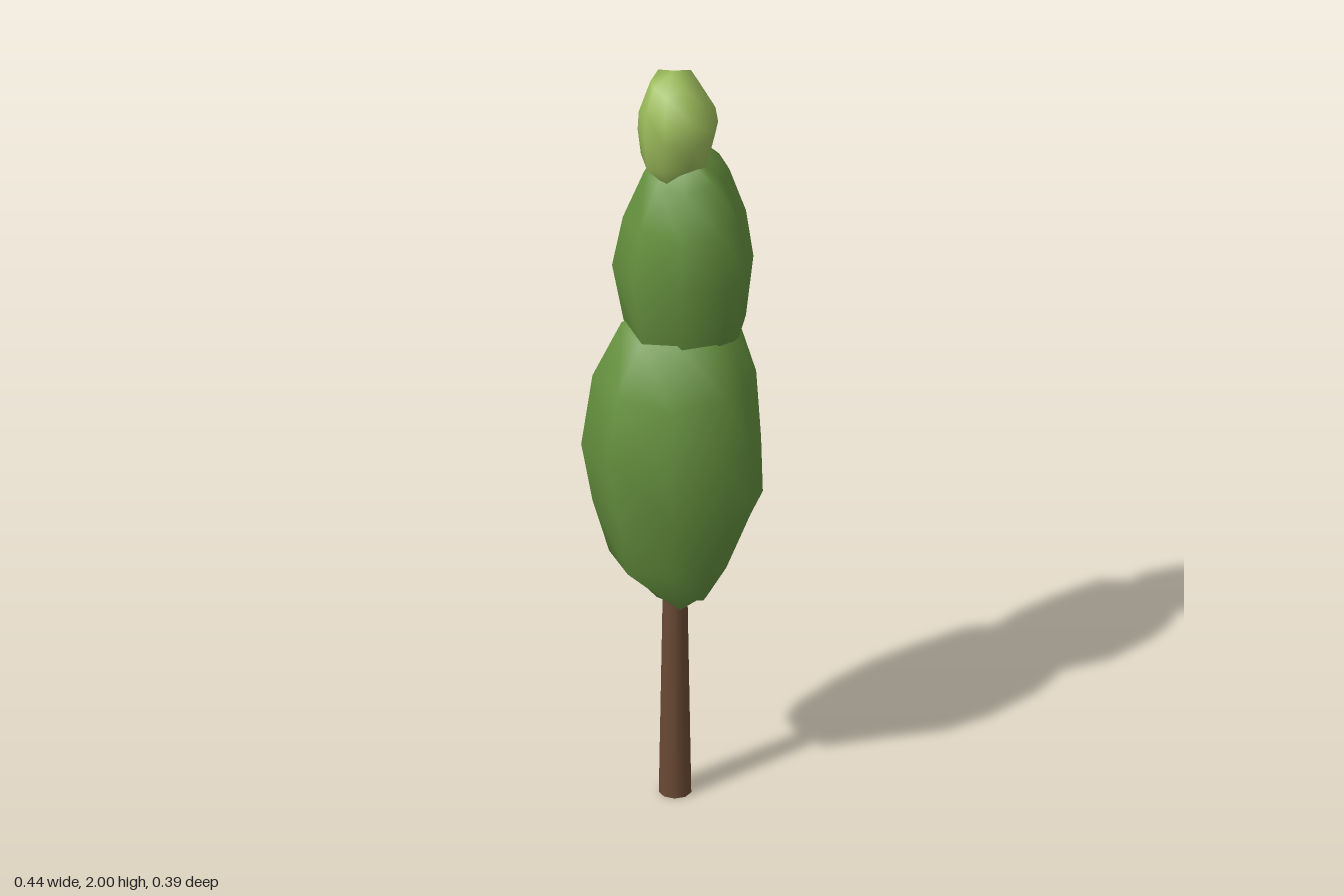
import * as THREE from 'three';

// Uneven plan outline of the foliage, scaled to fit each ring's extents
const LEAFY = [[-1, 0.1], [-0.68, 0.7], [0, 1], [0.66, 0.76], [0.9, 0.35],
  [1, -0.17], [0.74, -0.72], [0.27, -0.96], [-0.25, -1], [-0.76, -0.53]];
const ROUND = [[-1, 0.1], [-0.8, 0.6], [-0.3, 1], [0.45, 0.85], [0.95, 0.4],
  [1, -0.2], [0.67, -0.75], [0.08, -1], [-0.7, -0.72]];

// Closed smooth blob lofted through rings of [y, xMin, xMax, zMin, zMax]
function blob(name, outline, rings, bottom, top, material) {
  const n = outline.length;
  const pos = [];
  const index = [];
  rings.forEach(([y, x0, x1, z0, z1], i) => {
    outline.forEach(([px, pz], j) => {
      const wobble = 0.012 * Math.sin(j * 2.4 + i * 1.7);
      pos.push((x0 + x1) / 2 + px * (x1 - x0) / 2, y + wobble, (z0 + z1) / 2 + pz * (z1 - z0) / 2);
    });
  });
  const lo = rings.length * n;
  const hi = lo + 1;
  pos.push(...bottom, ...top);
  for (let j = 0; j < n; j++) {
    const k = (j + 1) % n;
    for (let i = 0; i < rings.length - 1; i++) {
      const a = i * n + j, b = i * n + k;
      index.push(a, b, a + n, b, b + n, a + n);
    }
    const t = (rings.length - 1) * n;
    index.push(lo, k, j, hi, t + j, t + k);
  }
  const geometry = new THREE.BufferGeometry();
  geometry.setAttribute('position', new THREE.Float32BufferAttribute(pos, 3));
  geometry.setIndex(index);
  geometry.computeVertexNormals();
  const mesh = new THREE.Mesh(geometry, material);
  mesh.name = name;
  return mesh;
}

export function createModel() {
  const bark = new THREE.MeshStandardMaterial({ color: 0x6b4a35 });
  bark.name = 'bark brown';
  const leaf = new THREE.MeshStandardMaterial({ color: 0x66923f });
  leaf.name = 'leaf green';
  const fresh = new THREE.MeshStandardMaterial({ color: 0x9dbd5c });
  fresh.name = 'fresh green';

  const tree = new THREE.Group();
  tree.name = 'tree';

  // Slim tapered trunk reaching into the foliage
  const trunk = new THREE.Mesh(new THREE.CylinderGeometry(0.028, 0.04, 0.7, 9), bark);
  trunk.name = 'trunk';
  trunk.position.set(0.005, 0.35, 0);
  tree.add(trunk);

  // Three stacked foliage masses
  tree.add(blob('lowerFoliage', LEAFY, [
    [0.55, -0.04, 0.08, -0.03, 0.065],
    [0.65, -0.155, 0.145, -0.145, 0.115],
    [0.81, -0.195, 0.216, -0.185, 0.165],
    [0.98, -0.222, 0.212, -0.196, 0.196],
    [1.15, -0.195, 0.2, -0.185, 0.172],
    [1.29, -0.125, 0.155, -0.135, 0.115],
  ], [0.02, 0.54, 0.02], [0.01, 1.38, -0.01], leaf));

  tree.add(blob('middleFoliage', LEAFY, [
    [1.19, -0.06, 0.09, -0.09, 0.06],
    [1.29, -0.12, 0.175, -0.155, 0.118],
    [1.46, -0.148, 0.193, -0.188, 0.153],
    [1.6, -0.122, 0.175, -0.185, 0.145],
    [1.71, -0.07, 0.135, -0.125, 0.09],
    [1.77, -0.025, 0.08, -0.07, 0.035],
  ], [0.015, 1.17, -0.015], [0.02, 1.79, -0.02], leaf));

  tree.add(blob('topFoliage', ROUND, [
    [1.715, -0.04, 0.045, -0.05, 0.05],
    [1.76, -0.078, 0.085, -0.09, 0.085],
    [1.84, -0.086, 0.108, -0.118, 0.1],
    [1.9, -0.083, 0.102, -0.1, 0.096],
    [1.965, -0.055, 0.06, -0.068, 0.06],
  ], [0, 1.7, 0], [0, 2, 0], fresh));

  return tree;
}
